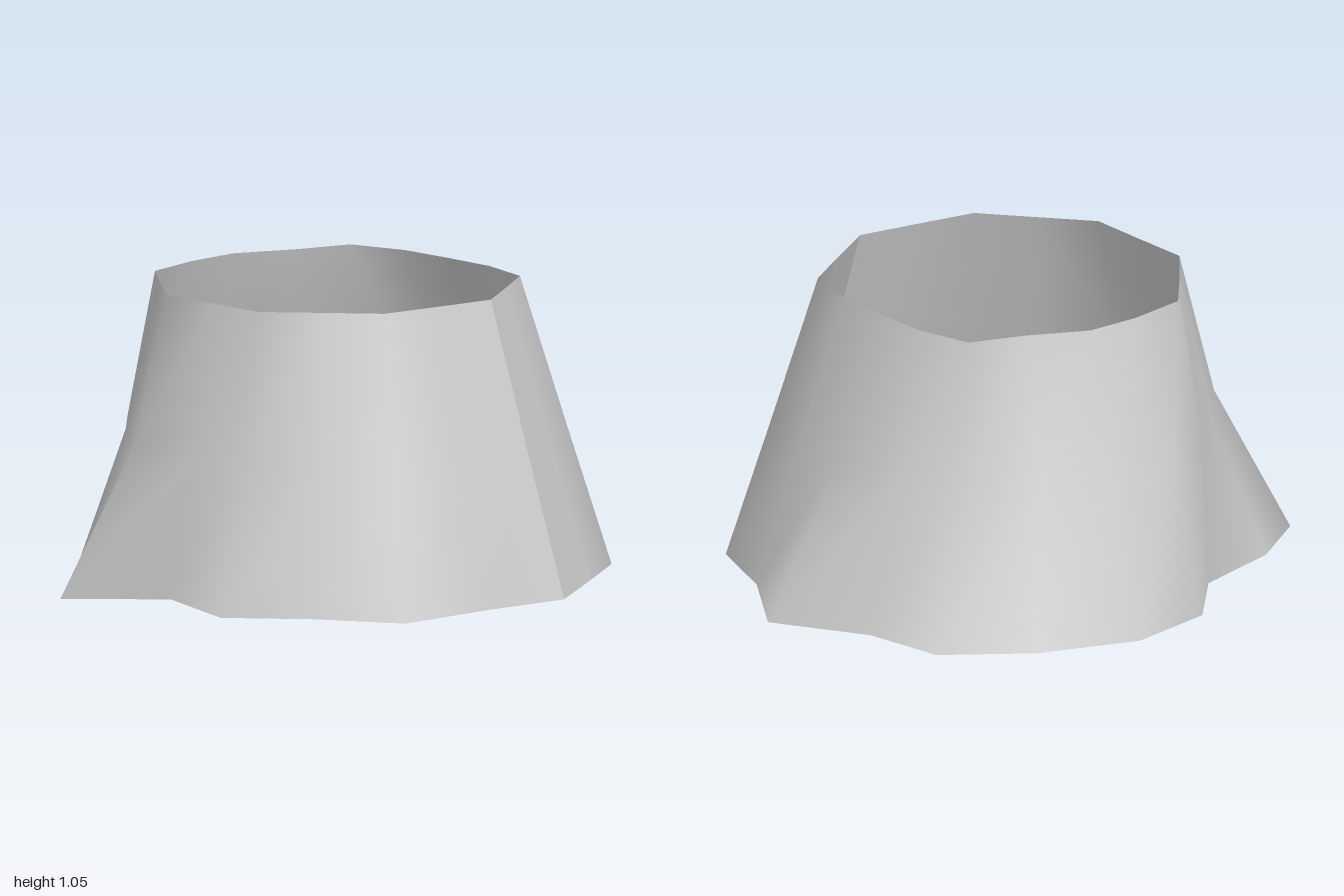
import * as THREE from 'three';

// Hem and waist points per fold: [waistX, waistZ, hemX, hemZ, midX?, midZ?], starting at the seam
const folds = [
  [0.485, 0.445, 0.70, 0.67],
  [0.28, 0.535, 0.40, 0.81],
  [0.07, 0.625, 0.07, 0.995, 0.07, 0.79],
  [-0.14, 0.565, -0.22, 0.855],
  [-0.355, 0.505, -0.54, 0.765],
  [-0.48, 0.32, -0.66, 0.475],
  [-0.605, 0.14, -1.0, 0.215, -0.73, 0.18],
  [-0.585, -0.08, -0.885, -0.11, -0.70, -0.12],
  [-0.56, -0.30, -0.66, -0.37, -0.645, -0.36],
  [-0.40, -0.45, -0.61, -0.68, -0.52, -0.56],
  [-0.23, -0.56, -0.37, -0.91, -0.30, -0.69],
  [0.0, -0.59, 0.0, -1.0, -0.03, -0.76],
  [0.205, -0.64, 0.35, -0.985, 0.25, -0.74],
  [0.37, -0.50, 0.56, -0.77, 0.46, -0.62],
  [0.49, -0.33, 0.905, -0.61, 0.65, -0.46],
  [0.60, -0.16, 0.91, -0.24],
  [0.67, 0.04, 0.99, 0.07],
  [0.58, 0.24, 0.85, 0.365],
];
const WAIST = 1.05, MID = 0.53, HEM = 0.02;
const hemHeights = { 5: 0.035, 6: 0.0 }; // uneven hem near the side flare

export function createModel() {
  const group = new THREE.Group();
  const cloth = new THREE.MeshStandardMaterial({ color: 0xcccccc, side: THREE.DoubleSide });
  cloth.name = 'grey cloth';

  // Three rings of points; the first column is repeated at the end for a sharp seam
  const positions = [], indices = [];
  const n = folds.length;
  for (let i = 0; i <= n; i++) {
    const [wx, wz, hx, hz, mx = (wx + hx) / 2, mz = (wz + hz) / 2] = folds[i % n];
    positions.push(wx, WAIST, wz, mx, MID, mz, hx, hemHeights[i] ?? HEM, hz);
  }
  for (let i = 0; i < n; i++) {
    for (let r = 0; r < 2; r++) {
      const a = i * 3 + r, b = a + 1, c = a + 3, d = a + 4;
      indices.push(a, c, d, a, d, b);
    }
  }

  // Open flared skirt
  const geometry = new THREE.BufferGeometry();
  geometry.setAttribute('position', new THREE.Float32BufferAttribute(positions, 3));
  geometry.setIndex(indices);
  geometry.computeVertexNormals();
  const skirt = new THREE.Mesh(geometry, cloth);
  skirt.name = 'skirt';
  group.add(skirt);
  return group;
}
